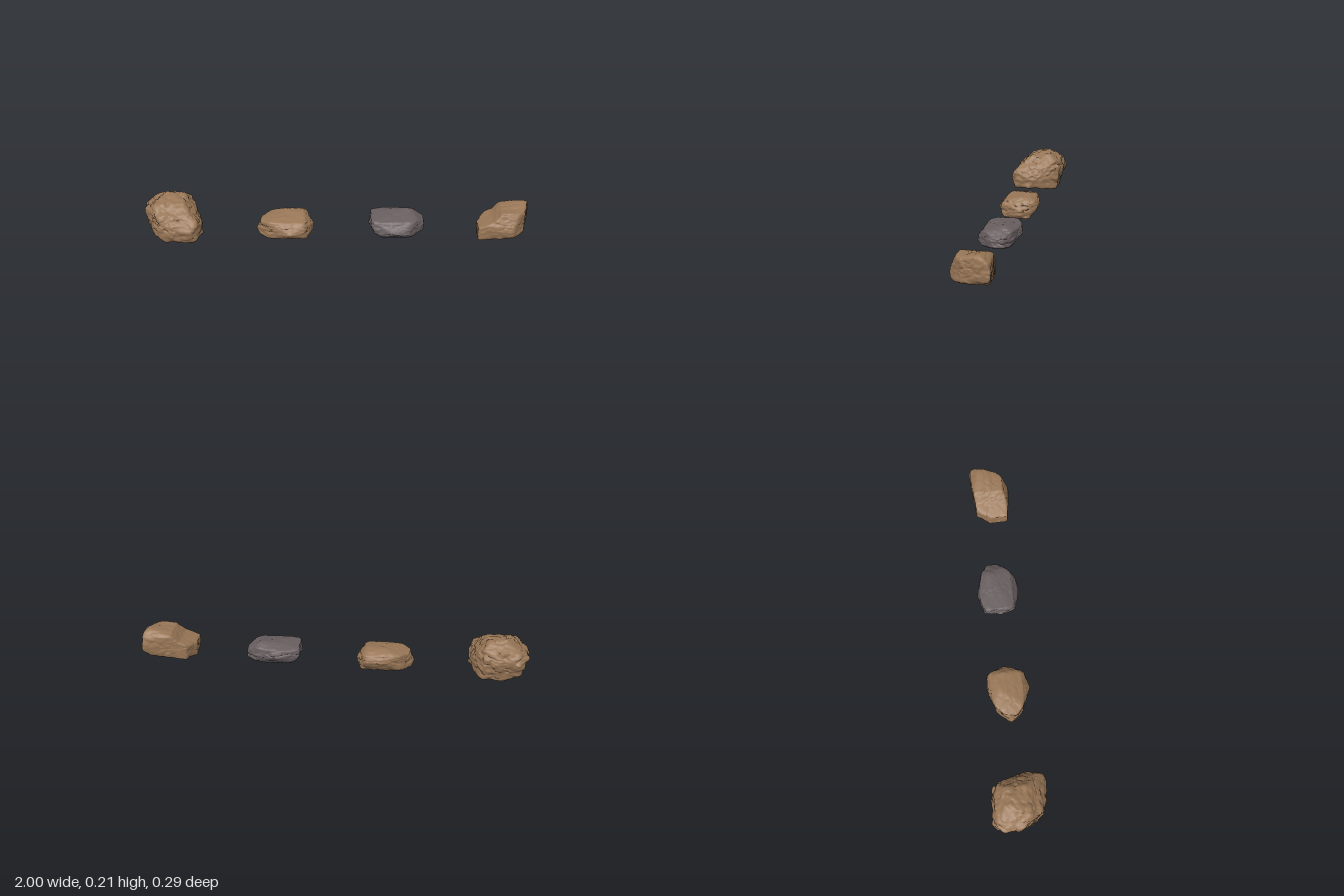
import * as THREE from 'three';
import { mergeVertices } from 'three/addons/utils/BufferGeometryUtils.js';

const brown = new THREE.MeshStandardMaterial({ name: 'brown stone', color: 0x997757 });
const grey = new THREE.MeshStandardMaterial({ name: 'grey stone', color: 0x695f61 });

// Each rock: front outline [x, y], top outline [x, z], z of its ridge,
// height of its front shoulder and width of its base (as fractions)
const rocks = [
  { name: 'largeBrownRock', material: brown, seed: 3, rough: 0.09, ridge: -0.06, shoulder: 0.66, base: 0.75,
    front: [[-1, .125], [-.94, .172], [-.885, .21], [-.79, .195], [-.69, .08], [-.69, .02], [-.75, 0], [-.87, 0], [-.965, .04]],
    top: [[-1, -.09], [-.95, -.15], [-.77, -.135], [-.72, -.04], [-.69, .06], [-.74, .145], [-.8, .14], [-.91, .105], [-1, -.02]] },
  { name: 'flatBrownRock', material: brown, seed: 11, rough: 0.05, ridge: -0.05, shoulder: 0.78, base: 0.6,
    front: [[-.42, .035], [-.39, .085], [-.26, .117], [-.175, .112], [-.113, .045], [-.14, 0], [-.4, 0]],
    top: [[-.42, 0], [-.345, -.075], [-.255, -.112], [-.175, -.112], [-.113, -.02], [-.17, .085], [-.24, .11], [-.355, .06]] },
  { name: 'greyRock', material: grey, seed: 23, rough: 0.05, ridge: -0.04, shoulder: 0.8, base: 0.45,
    front: [[.162, .065], [.18, .105], [.375, .122], [.45, .075], [.45, .03], [.33, 0], [.23, .01]],
    top: [[.162, 0], [.175, -.08], [.28, -.117], [.39, -.085], [.455, -.045], [.455, .005], [.37, .09], [.31, .106], [.19, .07]] },
  { name: 'wedgeBrownRock', material: brown, seed: 37, rough: 0.05, ridge: -0.05, shoulder: 0.86, base: 0.75,
    front: [[.725, .075], [.8, .105], [.845, .148], [.97, .174], [1, .165], [1, .06], [.96, .03], [.725, 0]],
    top: [[.725, .085], [.725, -.005], [.77, -.075], [1, -.105], [.96, .04], [.9, .11]] },
];

// Seeded value noise, -1 to 1
function hash(x, y, z, seed) {
  let h = Math.imul(x, 374761393) ^ Math.imul(y, 668265263) ^ Math.imul(z, 2147483647) ^ Math.imul(seed, 1274126177);
  h = Math.imul(h ^ (h >>> 13), 1274126177);
  h = Math.imul(h ^ (h >>> 16), 2246822519);
  return ((h ^ (h >>> 15)) >>> 0) / 2147483648 - 1;
}
function noise(x, y, z, seed) {
  const cell = [x, y, z].map(Math.floor);
  const f = [x, y, z].map((v, i) => (v - cell[i]) ** 2 * (3 - 2 * (v - cell[i])));
  let sum = 0;
  for (let i = 0; i < 8; i++) {
    const c = [i & 1, (i >> 1) & 1, i >> 2];
    const weight = c.reduce((w, b, k) => w * (b ? f[k] : 1 - f[k]), 1);
    sum += weight * hash(cell[0] + c[0], cell[1] + c[1], cell[2] + c[2], seed);
  }
  return sum;
}

// Low and high bounds of an outline along one axis
const range = (outline, axis) => {
  const values = outline.map((p) => p[axis]);
  return [Math.min(...values), Math.max(...values)];
};

// How far a ray (du, dv) runs from (cu, cv) before it leaves the outline
function reach(outline, cu, cv, du, dv) {
  let best = 0;
  outline.forEach(([u0, v0], i) => {
    const [u1, v1] = outline[(i + 1) % outline.length];
    const eu = u1 - u0, ev = v1 - v0, pu = u0 - cu, pv = v0 - cv;
    const det = du * ev - dv * eu;
    if (Math.abs(det) < 1e-9) return;
    const t = (pu * ev - pv * eu) / det, s = (pu * dv - pv * du) / det;
    if (t > 0 && s >= -1e-6 && s <= 1 + 1e-6) best = Math.max(best, t);
  });
  return best || 10;
}

// A sphere carved by its outlines, then roughened with lumps and cracks
function rockGeometry({ front, top, ridge, shoulder, base, seed, rough }) {
  const bounds = [range(front, 0), range(front, 1), range(top, 1)];
  const [cx, cy, cz] = bounds.map(([lo, hi]) => (lo + hi) / 2);
  const half = bounds.map(([lo, hi]) => (hi - lo) / 2);
  const height = bounds[1][1];
  const [back, face] = bounds[2];

  // Side outline [z, y]: sloping face, high ridge, undercut back
  const side = [[face, 0.35 * height], [0.62 * face, shoulder * height], [0.2 * face, 0.88 * height], [ridge, height],
    [0.85 * back, 0.8 * height], [back, 0.52 * height], [base * back, 0], [base * face, 0]];

  const sphere = new THREE.IcosahedronGeometry(1, 26);
  sphere.deleteAttribute('normal');
  sphere.deleteAttribute('uv');
  const geometry = mergeVertices(sphere, 1e-4);
  const pos = geometry.attributes.position;
  const power = 16;
  for (let i = 0; i < pos.count; i++) {
    const n = [pos.getX(i), pos.getY(i), pos.getZ(i)];
    const [dx, dy, dz] = n.map((v, k) => v * half[k]);
    const limits = [reach(front, cx, cy, dx, dy), reach(top, cx, cz, dx, dz), reach(side, cz, cy, dz, dy)];
    const carved = limits.reduce((s, t) => s + t ** -power, 0) ** (-1 / power);
    const at = (k, o) => noise(n[0] * k + 9, n[1] * k + 5, n[2] * k + 7, seed + o);
    const crack = Math.max(0, 1 - Math.abs(at(2.6, 1) + 0.25 * at(7, 2)) * 9);
    const lumps = 0.5 * at(2.5, 3) + 0.5 * at(5.5, 4) + 0.25 * at(11, 5) - 0.6 * crack;
    const r = carved * (1.03 + rough * lumps);
    // The underside rests flat on the ground
    pos.setXYZ(i, cx + dx * r, Math.max(0, cy + dy * r), cz + dz * r);
  }
  geometry.computeVertexNormals();
  return geometry;
}

export function createModel() {
  const group = new THREE.Group();
  group.name = 'rocks';
  for (const rock of rocks) {
    const mesh = new THREE.Mesh(rockGeometry(rock), rock.material);
    mesh.name = rock.name;
    group.add(mesh);
  }
  return group;
}
